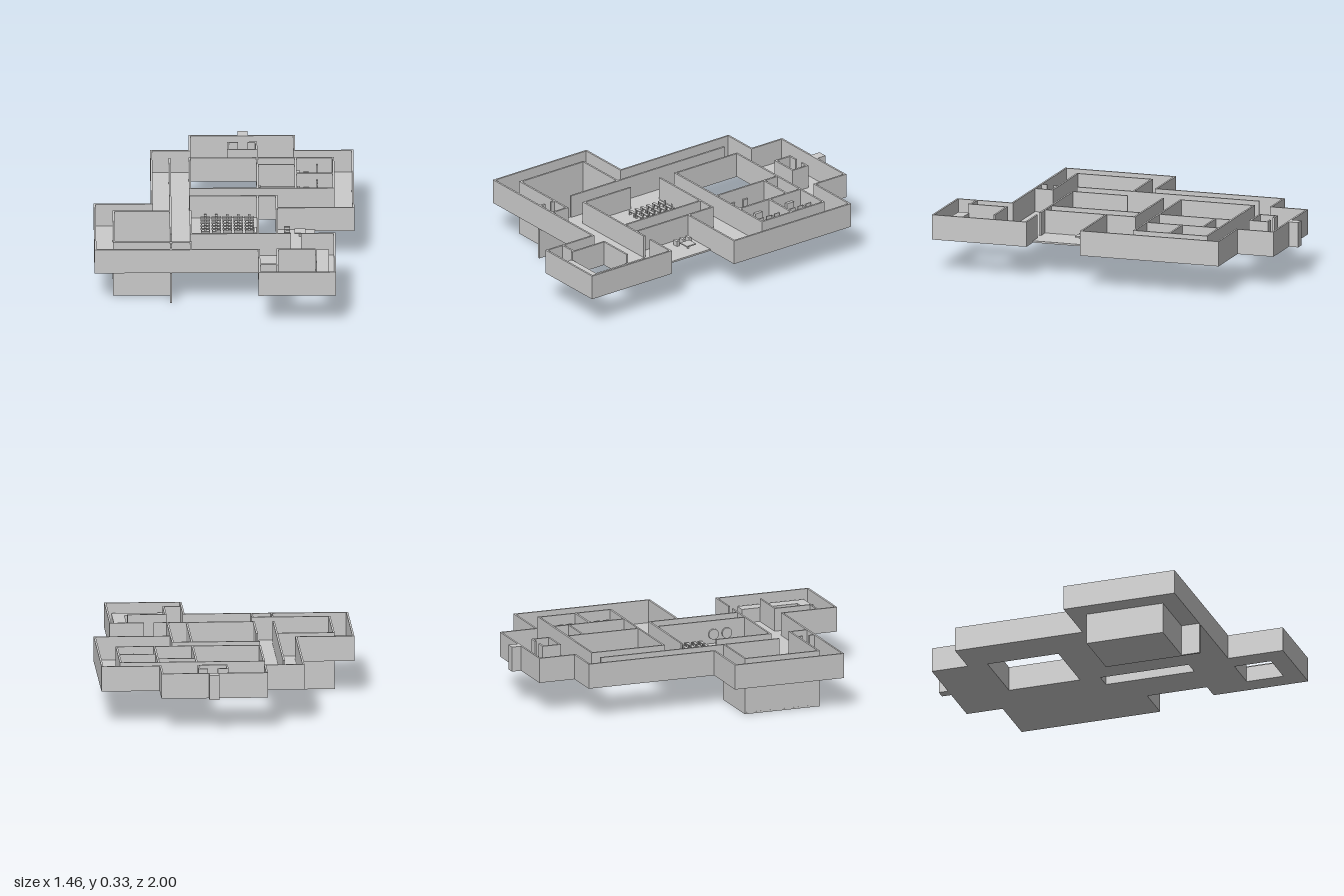
import * as THREE from 'three';

const FLOOR = 0.18, SLAB = 0.01, TOP = 0.322, T = 0.011;

export function createModel() {
  const model = new THREE.Group();
  const material = new THREE.MeshStandardMaterial({ color: 0xcccccc, side: THREE.DoubleSide });

  function group(name) {
    const g = new THREE.Group();
    g.name = name;
    model.add(g);
    return g;
  }
  function add(parent, name, geometry, x = 0, y = 0, z = 0) {
    const mesh = new THREE.Mesh(geometry, material);
    mesh.name = name;
    mesh.position.set(x, y, z);
    parent.add(mesh);
    return mesh;
  }
  // Box given by its plan rectangle and its bottom and top heights
  function block(parent, name, x1, x2, z1, z2, y1, y2) {
    return add(parent, name, new THREE.BoxGeometry(x2 - x1, y2 - y1, z2 - z1),
      (x1 + x2) / 2, (y1 + y2) / 2, (z1 + z2) / 2);
  }
  // Straight wall along a plan line, squared off at its ends
  function wall(parent, name, x1, z1, x2, z2, y1 = FLOOR, y2 = TOP) {
    const h = T / 2;
    block(parent, name, Math.min(x1, x2) - h, Math.max(x1, x2) + h,
      Math.min(z1, z2) - h, Math.max(z1, z2) + h, y1, y2);
  }
  function loopPath(points, PathType) {
    return new PathType(points.map(([x, z]) => new THREE.Vector2(x, -z)));
  }
  const rect = (x1, x2, z1, z2) => [[x1, z1], [x2, z1], [x2, z2], [x1, z2]];

  // Outline of the building, along the centre of the outer walls
  const outline = [
    [-0.19, -0.94], [0.395, -0.94], [0.395, -0.728], [0.72, -0.728], [0.72, 0.08],
    [0.505, 0.08], [0.505, 0.445], [0.612, 0.445], [0.612, 0.993], [0.19, 0.993],
    [0.19, 0.67], [-0.725, 0.67], [-0.725, 0.025], [-0.405, 0.025], [-0.405, -0.728], [-0.19, -0.728],
  ];
  const slab = loopPath(outline, THREE.Shape);
  slab.holes.push(
    loopPath(rect(-0.187, 0.183, -0.622, -0.198), THREE.Path),
    loopPath(rect(0.188, 0.288, -0.085, 0.44), THREE.Path),
    loopPath(rect(0.294, 0.508, 0.672, 0.89), THREE.Path),
    loopPath(rect(-0.62, -0.3, 0.125, 0.562), THREE.Path));
  const slabGeometry = new THREE.ExtrudeGeometry(slab, { depth: SLAB, bevelEnabled: false });
  slabGeometry.rotateX(-Math.PI / 2);
  add(model, 'floor', slabGeometry, 0, FLOOR, 0);

  const outer = group('outerWalls');
  outline.forEach(([x, z], i) => {
    const [x2, z2] = outline[(i + 1) % outline.length];
    // The two line pieces that cross open interior are left out
    if (i === 5 || i === 9 && z2 > z) return;
    wall(outer, 'outerWall', x, z, x2, z2);
  });

  // Room, corridor and courtyard walls: x1, z1, x2, z2
  const inner = group('innerWalls');
  [
    [-0.19, -0.625, 0.612, -0.625], [-0.19, -0.195, 0.612, -0.195],
    [-0.19, -0.625, -0.19, -0.195], [0.187, -0.625, 0.187, -0.195],
    [0.4, -0.625, 0.4, -0.195], [0.612, -0.625, 0.612, -0.195],
    [0.4, -0.405, 0.612, -0.405], [0.187, -0.53, 0.4, -0.53],
    [-0.19, -0.088, 0.292, -0.088], [0.185, -0.088, 0.185, 0.445],
    [-0.19, 0.125, -0.19, 0.445], [0.292, -0.088, 0.292, 0.445],
    [-0.19, 0.445, 0.365, 0.445], [0.43, 0.445, 0.612, 0.445],
    [0.292, 0.08, 0.505, 0.08], [-0.302, -0.615, -0.302, 0.45],
    [0.292, 0.668, 0.5, 0.668], [0.292, 0.668, 0.292, 0.89],
    [0.19, 0.88, 0.285, 0.88], [-0.302, 0.565, -0.19, 0.565],
    [-0.302, 0.565, -0.302, 0.59], [-0.302, 0.64, -0.302, 0.67],
    [-0.19, 0.565, -0.19, 0.67],
  ].forEach((w) => wall(inner, 'innerWall', ...w));

  // Sunken hall reaching down to the ground
  const hall = group('sunkenHall');
  block(hall, 'hallFloor', -0.626, -0.296, 0.12, 0.57, 0, 0.01);
  wall(hall, 'hallWall', -0.62, 0.125, -0.302, 0.125, 0);
  wall(hall, 'hallWall', -0.62, 0.565, -0.302, 0.565, 0);
  wall(hall, 'hallWall', -0.62, 0.125, -0.62, 0.565, 0);
  wall(hall, 'hallWall', -0.302, 0.125, -0.302, 0.565, 0, FLOOR + SLAB);
  wall(hall, 'lowerFinWall', -0.302, 0.565, -0.302, 0.672, 0, FLOOR);

  // Raised platform around the front courtyard
  const platform = group('courtyardPlatform');
  block(platform, 'sidePlatform', 0.509, 0.58, 0.555, 0.89, FLOOR, 0.27);
  block(platform, 'frontPlatform', 0.287, 0.58, 0.89, 0.955, FLOOR, 0.27);

  // Entrance projection at the back and the small room behind it
  block(model, 'backEntrance', 0.08, 0.135, -1, -0.94, FLOOR, TOP);
  const cabin = group('smallBackRoom');
  [
    [0.025, -0.835, 0.025, -0.735], [0.183, -0.835, 0.183, -0.735], [0.025, -0.735, 0.183, -0.735],
    [0.025, -0.835, 0.075, -0.835], [0.14, -0.835, 0.183, -0.835],
  ].forEach((w) => wall(cabin, 'smallRoomWall', ...w, FLOOR, 0.326));
  for (const [x, z] of [[0.04, -0.81], [0.055, -0.785], [0.04, -0.77], [0.135, -0.82], [0.145, -0.79]]) {
    block(cabin, 'washFixture', x - 0.01, x + 0.01, z - 0.01, z + 0.01, FLOOR, 0.235);
  }

  // Rows of desks with a seat each
  const seating = group('classroomSeating');
  const base = FLOOR + SLAB;
  for (let row = 0; row < 6; row++) {
    for (let col = 0; col < 5; col++) {
      const x = -0.107 + col * 0.0615, z = -0.037 + row * 0.041;
      block(seating, 'deskTop', x - 0.026, x + 0.026, z - 0.009, z + 0.009, base + 0.02, base + 0.025);
      for (const s of [-1, 1]) {
        block(seating, 'deskLeg', x + s * 0.022 - 0.003, x + s * 0.022 + 0.003, z - 0.007, z + 0.007, base, base + 0.02);
      }
      block(seating, 'seat', x - 0.007, x + 0.007, z - 0.021, z - 0.011, base, base + 0.015);
      block(seating, 'seatBack', x - 0.007, x + 0.007, z - 0.024, z - 0.021, base, base + 0.032);
    }
  }

  // Oval stage and two round panels on the side wall
  const stage = add(model, 'ovalStage', new THREE.CylinderGeometry(0.075, 0.075, 0.012, 40), 0.01, base + 0.006, 0.37);
  stage.scale.z = 0.5;
  for (const z of [0.25, 0.33]) {
    const panel = add(model, 'roundPanel', new THREE.CylinderGeometry(0.03, 0.03, 0.01, 24), 0.172, 0.245, z);
    panel.rotation.z = Math.PI / 2;
  }

  // Tables in the side room
  const sideRoom = group('sideRoomFurniture');
  for (const z of [0.122, 0.165, 0.207]) block(sideRoom, 'smallTable', 0.333, 0.367, z - 0.008, z + 0.008, base, base + 0.03);
  block(sideRoom, 'squareTable', 0.39, 0.453, 0.147, 0.21, base + 0.025, base + 0.032);
  add(sideRoom, 'tableLeg', new THREE.CylinderGeometry(0.006, 0.006, 0.025, 12), 0.421, base + 0.0125, 0.178);

  // Screens and fixtures of the paired rooms on the side
  const pair = group('pairedRoomFixtures');
  for (const z of [-0.62, -0.4]) {
    for (let i = 0; i < 3; i++) {
      block(pair, 'screen', 0.518, 0.524, z + 0.015 + i * 0.055, z + 0.05 + i * 0.055, base, 0.29);
    }
    block(pair, 'wallCabinet', 0.407, 0.425, z + 0.06, z + 0.11, base, 0.27);
    block(pair, 'basin', 0.445, 0.475, z, z + 0.012, base, 0.24);
  }
  for (const x of [0.23, 0.355]) block(pair, 'lowCabinet', x - 0.025, x + 0.025, -0.222, -0.2, base, 0.24);
  for (const x of [0.275, 0.305, 0.375]) add(pair, 'stool', new THREE.CylinderGeometry(0.007, 0.007, 0.03, 12), x, base + 0.015, -0.21);
  for (const z of [-0.39, -0.3]) block(pair, 'sideCabinet', 0.19, 0.203, z - 0.016, z + 0.016, base, 0.25);

  // Loose fittings near the front rooms
  block(model, 'frontBench', 0.2, 0.27, 0.97, 0.985, base, 0.22);
  block(model, 'cornerBasin', -0.208, -0.195, 0.615, 0.635, base, 0.25);
  return model;
}
